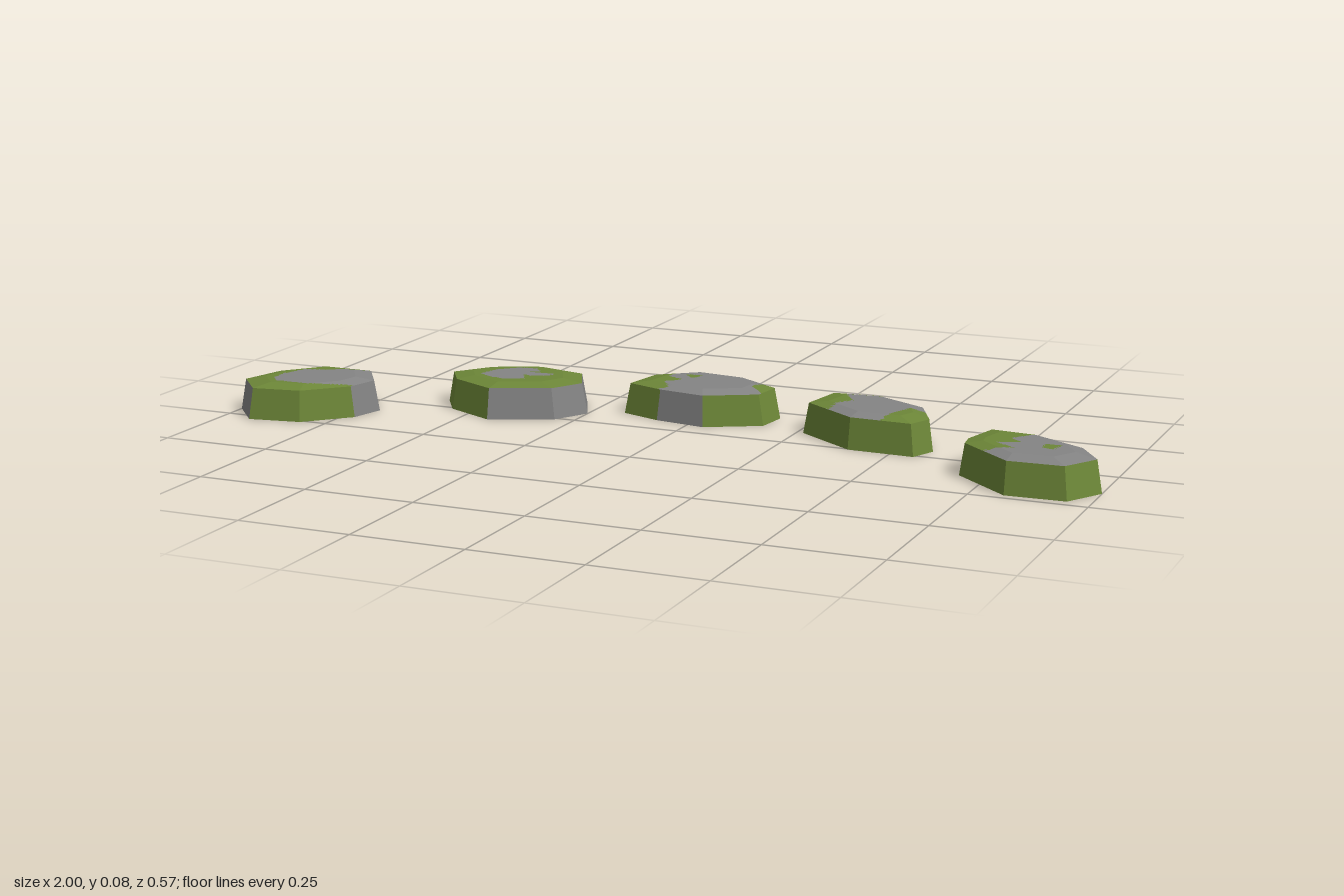
import * as THREE from 'three';

const green = new THREE.MeshStandardMaterial({ color: 0x6d8738 });
green.name = 'moss green';
const grey = new THREE.MeshStandardMaterial({ color: 0x848484 });
grey.name = 'stone grey';

const RIM_Y = 0.07, TOP_Y = 0.078, RIM = 0.925, FLAT = 0.7;

// Is the point (x, z) inside the polygon?
function inside(x, z, poly) {
  let hit = false;
  for (let i = 0, j = poly.length - 1; i < poly.length; j = i++) {
    const [ax, az] = poly[i], [bx, bz] = poly[j];
    if ((az > z) !== (bz > z) && x < ((bx - ax) * (z - az)) / (bz - az) + ax) hit = !hit;
  }
  return hit;
}

// Collects triangles into a green list and a grey list, then makes one mesh with two groups
function faceSet() {
  const lists = [[], []];
  const tri = (m, a, b, c) => lists[m].push(...a, ...b, ...c);
  return {
    tri,
    quad(m, a, b, c, d) { tri(m, a, b, c); tri(m, a, c, d); },
    mesh(name) {
      const geo = new THREE.BufferGeometry();
      geo.setAttribute('position', new THREE.Float32BufferAttribute(lists[0].concat(lists[1]), 3));
      const n = lists[0].length / 3;
      geo.addGroup(0, n, 0);
      geo.addGroup(n, lists[1].length / 3, 1);
      geo.computeVertexNormals();
      const mesh = new THREE.Mesh(geo, [green, grey]);
      mesh.name = name;
      return mesh;
    },
  };
}

// outline: clockwise seen from above; sides: g or s (green, grey) for each edge;
// base: main colour of the top; patches: polygons of the other colour; under: bottom colour
function makeStone({ name, outline, sides, base, patches, under = 0 }) {
  const group = new THREE.Group();
  group.name = name;
  const n = outline.length;
  const cx = outline.reduce((s, p) => s + p[0], 0) / n;
  const cz = outline.reduce((s, p) => s + p[1], 0) / n;
  const at = ([x, z], k, y) => [cx + (x - cx) * k, y, cz + (z - cz) * k];

  // Tapered sides and flat underside
  const body = faceSet();
  outline.forEach((p, i) => {
    const q = outline[(i + 1) % n];
    body.quad(sides[i] === 's' ? 1 : 0, at(p, 1, 0), at(p, RIM, RIM_Y), at(q, RIM, RIM_Y), at(q, 1, 0));
    body.tri(under, [cx, 0, cz], at(p, 1, 0), at(q, 1, 0));
  });
  group.add(body.mesh('stoneSides'));

  // Top with a shallow sloping rim, split finely so the moss patches have free outlines
  const top = faceSet();
  const steps = 12, rings = 20;
  const colourAt = (x, z) => (patches.some((poly) => inside(x, z, poly)) ? 1 - base : base);
  const surface = (p, t) => at(p, t * RIM, t > FLAT ? TOP_Y + ((RIM_Y - TOP_Y) * (t - FLAT)) / (1 - FLAT) : TOP_Y);
  const paint = (a, b, c) => top.tri(colourAt((a[0] + b[0] + c[0]) / 3, (a[2] + b[2] + c[2]) / 3), a, b, c);
  outline.forEach((p, i) => {
    const q = outline[(i + 1) % n];
    const lerp = (u) => [p[0] + (q[0] - p[0]) * u, p[1] + (q[1] - p[1]) * u];
    for (let s = 0; s < steps; s++) {
      const e = lerp(s / steps), f = lerp((s + 1) / steps);
      for (let r = 0; r < rings; r++) {
        const t0 = r / rings, t1 = (r + 1) / rings;
        paint(surface(e, t0), surface(f, t1), surface(e, t1));
        if (r > 0) paint(surface(e, t0), surface(f, t0), surface(f, t1));
      }
    }
  });
  group.add(top.mesh('stoneTop'));
  return group;
}

const farRight = {
  name: 'farRightStone', sides: 'sgsggsgs', base: 0, under: 1,
  outline: [[-0.89, 0], [-0.76, 0], [-0.7, 0.09], [-0.72, 0.17], [-0.81, 0.26], [-0.93, 0.28], [-1, 0.2], [-0.97, 0.09]],
  patches: [[[-0.85, 0.07], [-0.76, 0.01], [-0.7, 0.09], [-0.73, 0.16], [-0.82, 0.21], [-0.9, 0.21],
    [-0.92, 0.18], [-0.92, 0.14], [-0.9, 0.085]]],
};

const nearRight = {
  name: 'rightStone', sides: 'gggsssgg', base: 0,
  outline: [[-0.6, -0.06], [-0.54, -0.14], [-0.42, -0.195], [-0.295, -0.165], [-0.25, -0.07], [-0.295, 0.01], [-0.435, 0.07], [-0.555, 0.01]],
  patches: [[[-0.49, -0.09], [-0.45, -0.125], [-0.41, -0.135], [-0.39, -0.11], [-0.41, -0.095], [-0.35, -0.1], [-0.35, -0.08],
    [-0.39, -0.06], [-0.41, -0.07], [-0.39, -0.03], [-0.425, -0.01], [-0.47, -0.015], [-0.505, -0.04]]],
};

const middle = {
  name: 'middleStone', sides: 'ggggggsg', base: 1,
  outline: [[-0.175, -0.11], [-0.155, -0.22], [-0.065, -0.29], [0.055, -0.275], [0.17, -0.2], [0.16, -0.12], [0.04, -0.055], [-0.08, -0.075]],
  patches: [
    [[-0.18, -0.13], [-0.15, -0.23], [-0.11, -0.25], [-0.09, -0.235], [-0.1, -0.185], [-0.055, -0.165], [-0.085, -0.13], [-0.06, -0.095], [-0.12, -0.07]],
    [[-0.07, -0.215], [-0.025, -0.22], [-0.04, -0.185]],
    [[0.125, -0.23], [0.18, -0.2], [0.16, -0.13], [0.115, -0.165]],
  ],
};

const nearLeft = {
  name: 'leftStone', sides: 'gsggggg', base: 1,
  outline: [[0.265, -0.095], [0.285, -0.215], [0.4, -0.225], [0.53, -0.155], [0.58, -0.05], [0.555, 0.01], [0.405, 0.005]],
  patches: [
    [[0.27, -0.22], [0.415, -0.24], [0.415, -0.185], [0.37, -0.195], [0.34, -0.17], [0.37, -0.125], [0.345, -0.09], [0.34, -0.055], [0.25, -0.09]],
    [[0.51, -0.105], [0.57, -0.11], [0.6, -0.05], [0.56, 0.02], [0.47, 0.02], [0.49, -0.055]],
  ],
};

const farLeft = {
  name: 'farLeftStone', sides: 'gggggggg', base: 1,
  outline: [[0.685, 0.07], [0.71, -0.03], [0.815, -0.02], [0.945, 0.055], [1, 0.14], [0.95, 0.225], [0.82, 0.23], [0.69, 0.115]],
  patches: [
    [[0.7, -0.04], [0.815, -0.03], [0.82, 0.02], [0.785, 0.065], [0.815, 0.09], [0.765, 0.11], [0.815, 0.14], [0.755, 0.16], [0.68, 0.115]],
    [[0.865, 0.085], [0.9, 0.085], [0.89, 0.125], [0.865, 0.115]],
  ],
};

export function createModel() {
  const model = new THREE.Group();
  model.name = 'steppingStones';
  for (const stone of [farRight, nearRight, middle, nearLeft, farLeft]) model.add(makeStone(stone));
  return model;
}
